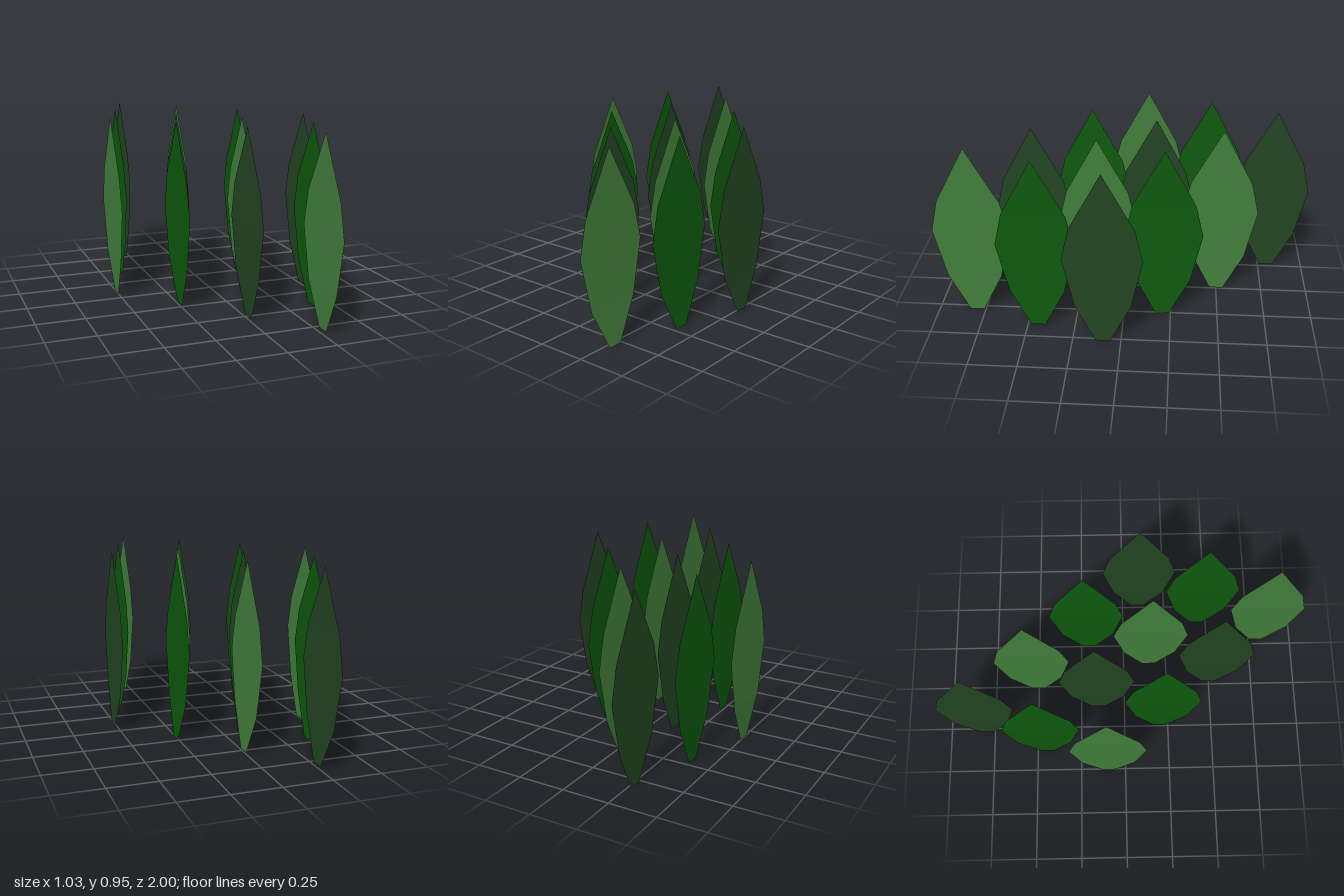
import * as THREE from 'three';

const makeMaterial = (name, color) => {
  const material = new THREE.MeshStandardMaterial({ color, side: THREE.DoubleSide, flatShading: true });
  material.name = name;
  return material;
};

// Rows of a leaf from tip to stem: height, half width, forward bend
const LEAF_ROWS = [
  [0.955, 0, 0],
  [0.655, 0.162, 0],
  [0.48, 0.203, 0.001],
  [0.21, 0.144, 0.004],
  [0, 0.037, 0.013],
];

// A thin sheet facing +x, tapered and bent row by row
function leafGeometry() {
  const geometry = new THREE.PlaneGeometry(2, 1, 2, LEAF_ROWS.length - 1);
  const position = geometry.attributes.position;
  for (let i = 0; i < position.count; i++) {
    const [y, halfWidth, bend] = LEAF_ROWS[Math.floor(i / 3)];
    position.setXYZ(i, bend, y, -position.getX(i) * halfWidth);
  }
  geometry.computeVertexNormals();
  return geometry;
}

export function createModel() {
  const dark = makeMaterial('dark green', 0x224422);
  const mid = makeMaterial('leaf green', 0x0d590d);
  const light = makeMaterial('light green', 0x417e3a);

  // Colours of the four slanted rows of three leaves
  const rows = [
    [dark, mid, light],
    [light, dark, mid],
    [mid, light, dark],
    [dark, mid, light],
  ];

  const group = new THREE.Group();
  group.name = 'leaves';
  const geometry = leafGeometry();
  rows.forEach((row, i) => row.forEach((material, j) => {
    const leaf = new THREE.Mesh(geometry, material);
    leaf.name = `leaf${i * 3 + j + 1}`;
    leaf.position.set(-0.281 + i * 0.261 - j * 0.1175, 0, -0.797 + i * 0.2965 + j * 0.352);
    group.add(leaf);
  }));
  return group;
}
